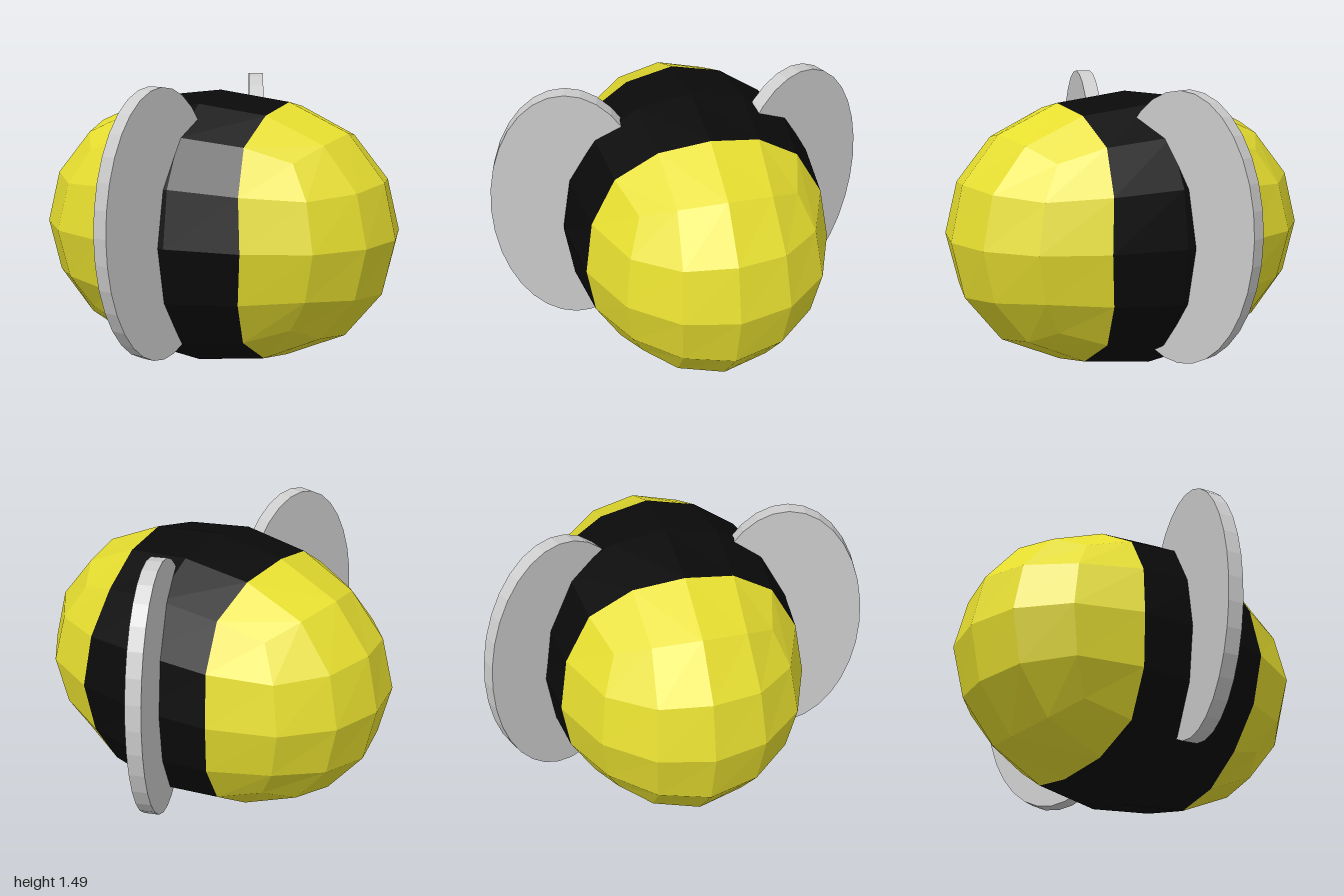
import * as THREE from 'three';

// Rounded-cube positions, keyed by the sorted grid steps (0-2) of a vertex;
// each entry gives the coordinate for step 0, 1 and 2.
const ROUND = {
  '200': [0, 0, 1],
  '210': [0, 0.399, 0.933],
  '211': [0, 0.371, 0.87],
  '220': [0, 0, 0.732],
  '221': [0, 0.344, 0.682],
  '222': [0, 0, 0.58],
};

function roundPoint(p) {
  const steps = p.map((c) => Math.round(Math.abs(c) * 2));
  const row = ROUND[[...steps].sort((a, b) => b - a).join('')];
  return p.map((c, k) => Math.sign(c) * row[steps[k]]);
}

// The quads of a gridded cube whose centre passes the test, rounded into an ellipsoid
function bodyPart(name, color, keep) {
  const src = new THREE.BoxGeometry(2, 2, 2, 4, 4, 4).toNonIndexed().attributes.position;
  const out = [];
  for (let i = 0; i < src.count; i += 3) {
    const tri = [0, 1, 2].map((k) => [src.getX(i + k), src.getY(i + k), src.getZ(i + k)]);
    const midX = (tri[0][0] + tri[1][0] + tri[2][0]) / 3;
    if (keep(midX)) tri.forEach((p) => out.push(...roundPoint(p)));
  }
  const geo = new THREE.BufferGeometry();
  geo.setAttribute('position', new THREE.Float32BufferAttribute(out, 3));
  geo.scale(0.956, 0.712, 0.673);
  geo.computeVertexNormals();
  const mesh = new THREE.Mesh(geo, new THREE.MeshStandardMaterial({ color, flatShading: true }));
  mesh.name = name;
  mesh.position.set(0, 0.713, -0.026);
  return mesh;
}

// Thin oval disc standing upright, turned about the vertical
function wing(name, halfWidth, position, turn) {
  const geo = new THREE.CylinderGeometry(1, 1, 0.078, 32);
  geo.rotateZ(Math.PI / 2);
  geo.scale(1, 0.672, halfWidth);
  const mesh = new THREE.Mesh(geo, new THREE.MeshStandardMaterial({ color: 0xcccccc, flatShading: true }));
  mesh.name = name;
  mesh.position.set(...position);
  mesh.rotation.y = turn;
  return mesh;
}

export function createModel() {
  const group = new THREE.Group();
  group.name = 'roundBee';

  // Striped body
  group.add(bodyPart('leftBody', 0xe5dd2f, (x) => x > 0.5));
  group.add(bodyPart('rightBody', 0xe5dd2f, (x) => x < -0.5));
  group.add(bodyPart('middleStripe', 0x0a0a0a, (x) => Math.abs(x) < 0.5));

  // Wings
  group.add(wing('frontWing', 0.407, [-0.06, 0.818, 0.595], -0.228));
  group.add(wing('backWing', 0.435, [-0.04, 0.795, -0.584], 0.412));
  return group;
}
